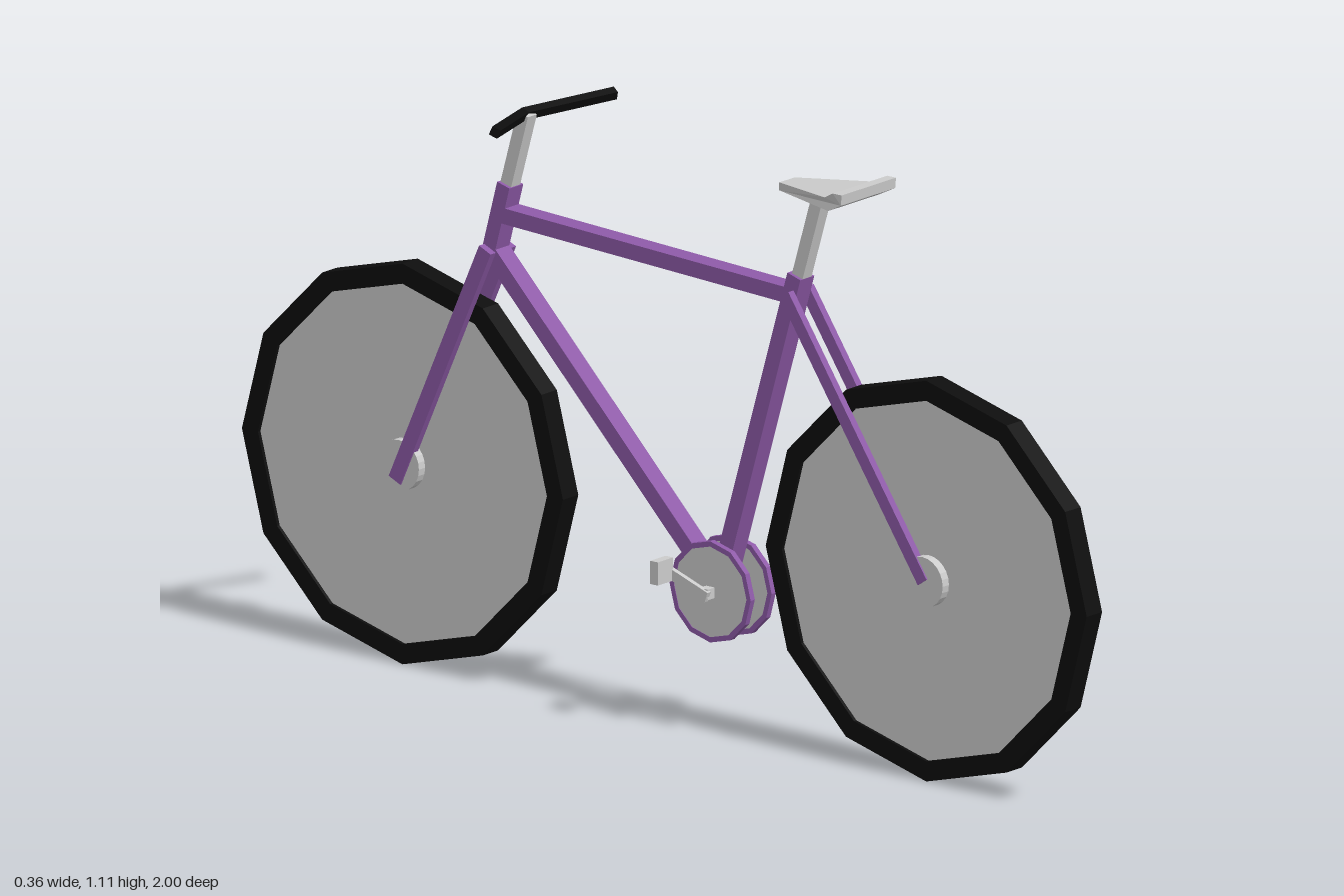
import * as THREE from 'three';

const mat = (color) => new THREE.MeshStandardMaterial({ color, flatShading: true });

export function createModel() {
  const bike = new THREE.Group();
  bike.name = 'bicycle';
  const grey = mat(0xcccccc), purple = mat(0x8e5aa8), black = mat(0x0d0d0d);

  const add = (parent, name, geometry, material) => {
    const mesh = new THREE.Mesh(geometry, material);
    mesh.name = name;
    parent.add(mesh);
    return mesh;
  };

  // Square bar between two points: w is its width along x, d its depth
  const bar = (name, a, b, w, d, material) => {
    const p = new THREE.Vector3(...a), q = new THREE.Vector3(...b);
    const mesh = add(bike, name, new THREE.BoxGeometry(w, p.distanceTo(q), d), material);
    mesh.position.copy(p).lerp(q, 0.5);
    mesh.quaternion.setFromUnitVectors(new THREE.Vector3(0, 1, 0), q.sub(p).normalize());
    return mesh;
  };
  const block = (name, size, pos, material) => {
    add(bike, name, new THREE.BoxGeometry(...size), material).position.set(...pos);
  };

  // Twelve-sided ring and disc, both with their axis along x
  const ring = (inner, outer, h) => new THREE.LatheGeometry(
    [[inner, -h], [outer, -h], [outer, h], [inner, h], [inner, -h]].map((p) => new THREE.Vector2(...p)), 12
  ).rotateZ(Math.PI / 2);
  const disc = (r, h, sides = 12) => new THREE.CylinderGeometry(r, r, 2 * h, sides).rotateZ(Math.PI / 2);

  // Wheels
  for (const [name, z] of [['frontWheel', -0.62], ['rearWheel', 0.62]]) {
    const wheel = new THREE.Group();
    wheel.name = name;
    wheel.position.set(0, 0.384, z);
    add(wheel, 'tyre', ring(0.342, 0.38, 0.022), black);
    add(wheel, 'wheelDisc', disc(0.345, 0.015), grey);
    add(wheel, 'hub', disc(0.048, 0.033, 24), grey);
    bike.add(wheel);
  }

  // Frame
  bar('seatTube', [0, 0.905, 0.305], [0, 0.28, 0.12], 0.04, 0.032, purple);
  bar('topTube', [0, 0.866, 0.29], [0, 0.897, -0.4], 0.04, 0.03, purple);
  bar('downTube', [0, 0.82, -0.415], [0, 0.28, 0.115], 0.04, 0.032, purple);
  bar('headTube', [0, 0.955, -0.383], [0, 0.8, -0.425], 0.04, 0.03, purple);
  for (const s of [-1, 1]) {
    bar('forkBlade', [s * 0.029, 0.83, -0.413], [s * 0.029, 0.355, -0.627], 0.015, 0.03, purple);
    bar('seatStay', [s * 0.029, 0.872, 0.295], [s * 0.029, 0.385, 0.622], 0.015, 0.025, purple);
  }

  // Chainrings on both sides of the bottom bracket
  for (const s of [-1, 1]) {
    const chainring = new THREE.Group();
    chainring.name = 'chainring';
    chainring.position.set(s * 0.03, 0.277, 0.12);
    add(chainring, 'chainringRim', ring(0.086, 0.096, 0.006), purple);
    add(chainring, 'chainringDisc', disc(0.088, 0.005), grey);
    bike.add(chainring);
  }

  // Cranks and pedals
  block('crankAxle', [0.11, 0.02, 0.02], [0, 0.277, 0.12], grey);
  bar('leftCrank', [0.055, 0.287, 0.123], [0.055, 0.195, 0.095], 0.01, 0.02, grey);
  block('leftPedal', [0.042, 0.018, 0.044], [0.074, 0.2, 0.077], grey);
  bar('rightCrank', [-0.055, 0.273, 0.13], [-0.055, 0.306, 0.035], 0.01, 0.02, grey);
  block('rightPedal', [0.044, 0.044, 0.018], [-0.078, 0.312, 0.04], grey);

  // Saddle: side profile extruded across, narrowing towards the nose
  bar('seatPost', [0, 1.07, 0.357], [0, 0.89, 0.303], 0.026, 0.026, grey);
  const profile = [[0.272, 1.063], [0.43, 1.063], [0.464, 1.08], [0.466, 1.1], [0.445, 1.1], [0.418, 1.086], [0.272, 1.078]];
  const saddle = new THREE.ExtrudeGeometry(
    new THREE.Shape(profile.map((p) => new THREE.Vector2(...p))), { depth: 2, bevelEnabled: false }
  ).translate(0, 0, -1).rotateY(-Math.PI / 2);
  const v = saddle.attributes.position;
  for (let i = 0; i < v.count; i++) {
    const t = Math.min(1, (v.getZ(i) - 0.272) / 0.173);
    v.setX(i, v.getX(i) * (0.022 + 0.056 * t));
  }
  saddle.computeVertexNormals();
  add(bike, 'saddle', saddle, grey);

  // Stem and handlebar
  bar('stem', [0, 1.095, -0.343], [0, 0.94, -0.387], 0.026, 0.026, grey);
  for (const s of [-1, 1]) {
    bar('handlebar', [0, 1.092, -0.35], [s * 0.173, 1.107, -0.277], 0.017, 0.017, black);
  }

  return bike;
}
